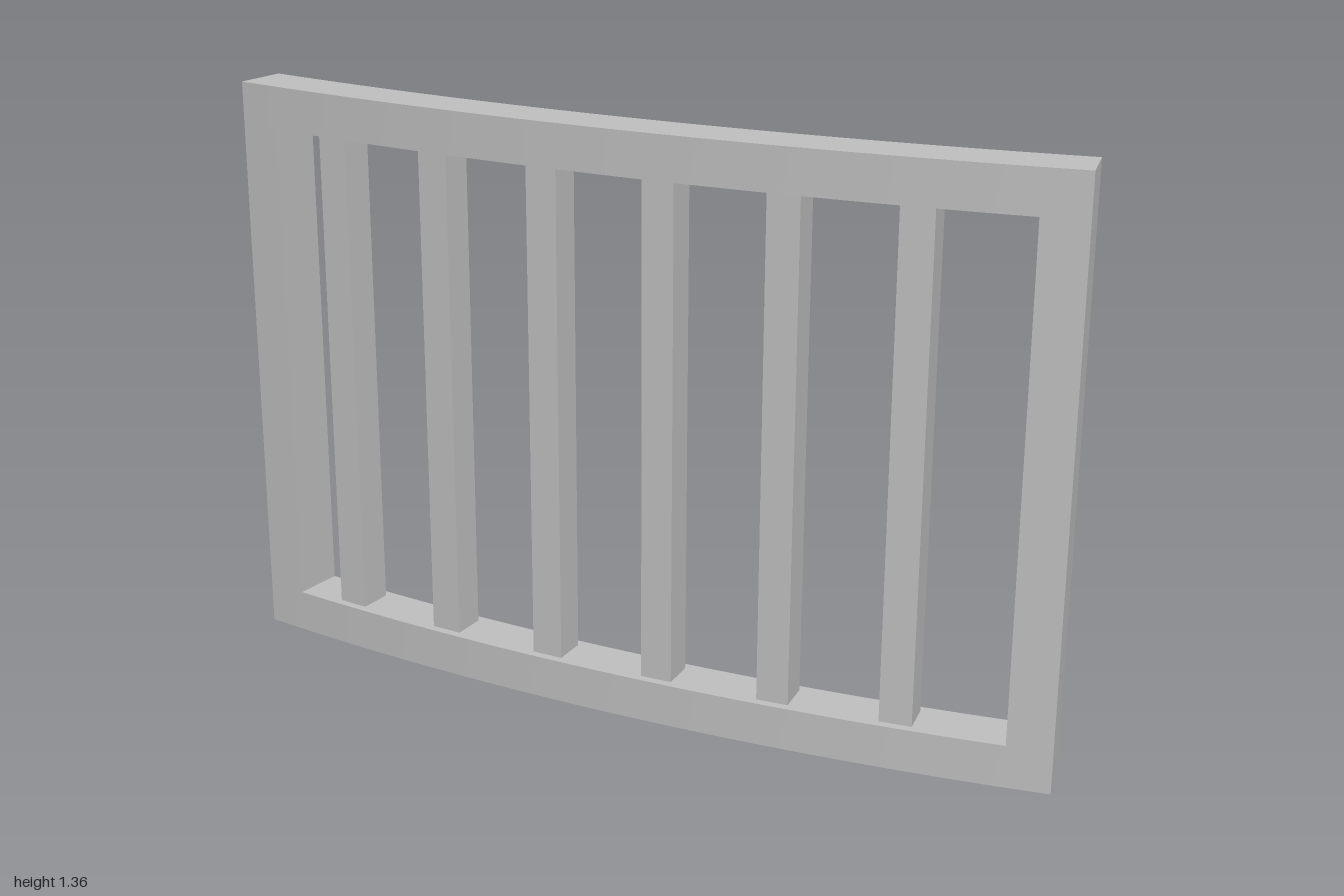
import * as THREE from 'three';

const R = 6.23;            // radius of the panel's middle surface
const CZ = -6.19;          // z of the centre of curvature
const END = 0.1597;        // half angle of the whole frame
const INNER = 0.1436;      // half angle of the opening
const HEIGHT = 1.36, BORDER = 0.1, DEPTH = 0.12;

// Box running from angle a0 to a1 and y0 to y1, bent around the vertical axis
function bentBox(a0, a1, y0, y1, segments) {
  const g = new THREE.BoxGeometry(a1 - a0, y1 - y0, DEPTH, segments, 1, 1);
  g.translate((a0 + a1) / 2, (y0 + y1) / 2, 0);
  const p = g.attributes.position;
  for (let i = 0; i < p.count; i++) {
    const a = p.getX(i), r = R + p.getZ(i);
    p.setXYZ(i, r * Math.sin(a), p.getY(i), r * Math.cos(a) + CZ);
  }
  g.computeVertexNormals();
  return g;
}

export function createModel() {
  const model = new THREE.Group();
  model.name = 'curvedRailing';
  const grey = new THREE.MeshStandardMaterial({ color: 0xc0c0c0 });
  grey.name = 'lightGrey';

  const add = (name, geometry) => {
    const mesh = new THREE.Mesh(geometry, grey);
    mesh.name = name;
    model.add(mesh);
    return mesh;
  };

  // Curved rails and end posts
  add('bottomRail', bentBox(-END, END, 0, BORDER, 32));
  add('topRail', bentBox(-END, END, HEIGHT - BORDER, HEIGHT, 32));
  add('leftPost', bentBox(INNER, END, BORDER, HEIGHT - BORDER, 2));
  add('rightPost', bentBox(-END, -INNER, BORDER, HEIGHT - BORDER, 2));

  // Upright bars, each turned to follow the curve
  const barGeometry = new THREE.BoxGeometry(0.074, HEIGHT - 2 * BORDER, 0.08);
  for (let i = 0; i < 6; i++) {
    const a = Math.asin((-0.745 + 0.279 * i) / R);
    const bar = add('bar' + (i + 1), barGeometry);
    bar.position.set(R * Math.sin(a), HEIGHT / 2, R * Math.cos(a) + CZ);
    bar.rotation.y = a;
  }
  return model;
}
